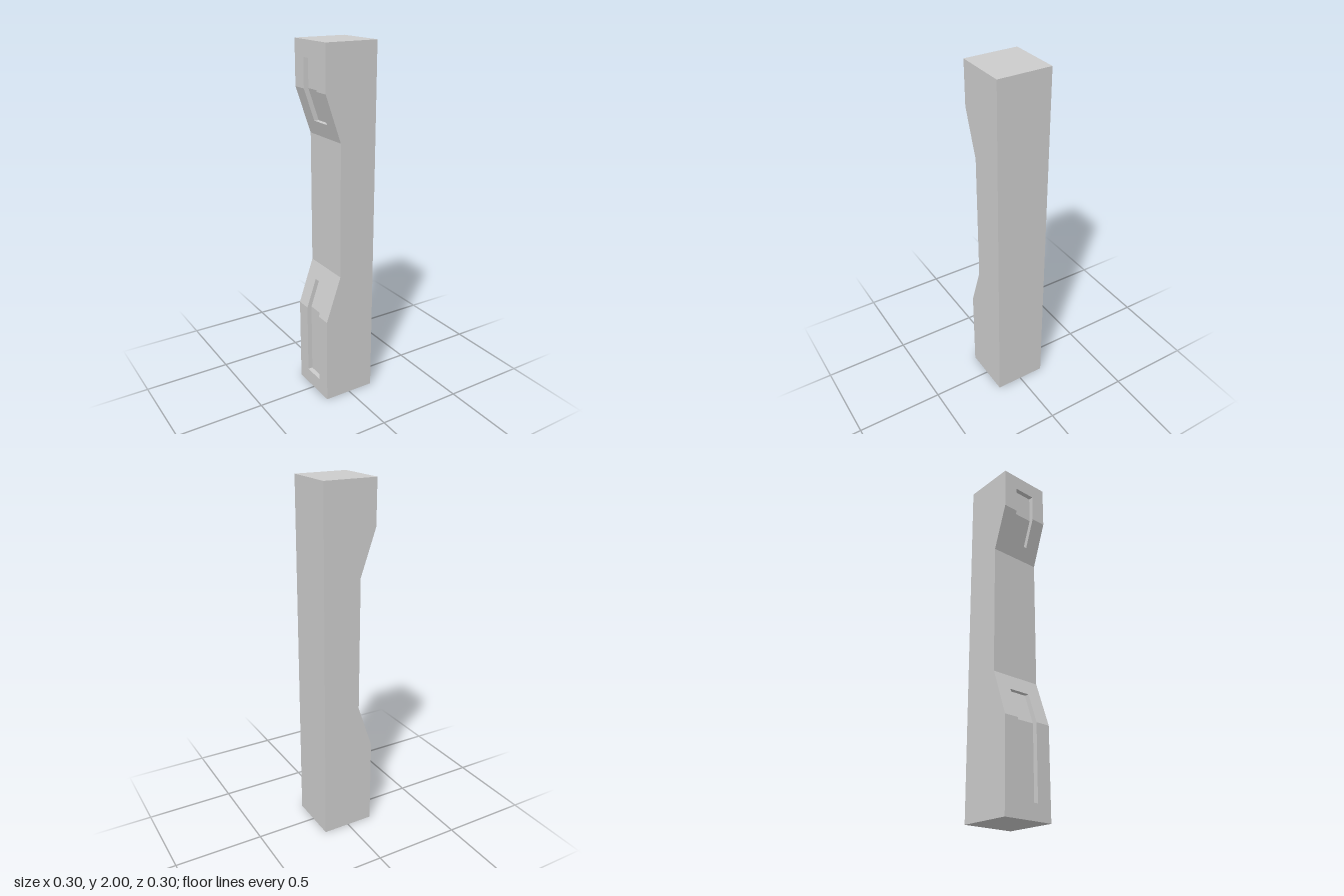
import * as THREE from 'three';

const H = 0.151;      // half width of the square post
const WAIST = -0.063; // x of the recessed middle face
const G = 0.0635;     // half width of the grooves
const DEPTH = 0.027;  // groove depth

// Height levels, with the grooved spans listed by row index
const LEVELS = [0, 0.0875, 0.5, 0.6675, 0.755, 1.5, 1.5825, 1.755, 1.9125, 2];
const GROOVES = [[1, 3], [6, 8]];

// x of the shaped side at a given height
function sideX(y) {
  const t = y < 1 ? (y - 0.5) / 0.255 : (1.755 - y) / 0.255;
  return THREE.MathUtils.lerp(-H, WAIST, THREE.MathUtils.clamp(t, 0, 1));
}

// Flat-faced mesh from quads given counter-clockwise from outside
function quadMesh(name, quads) {
  const positions = quads.flatMap(([a, b, c, d]) => [a, b, c, a, c, d].flat());
  const geometry = new THREE.BufferGeometry();
  geometry.setAttribute('position', new THREE.Float32BufferAttribute(positions, 3));
  geometry.computeVertexNormals();
  const mesh = new THREE.Mesh(geometry, new THREE.MeshStandardMaterial({ color: 0xcccccc, flatShading: true }));
  mesh.name = name;
  return mesh;
}

// Strip of the shaped side between two heights and two z values
function sideQuad(y0, y1, z0, z1, inset = 0) {
  const a = sideX(y0) + inset, b = sideX(y1) + inset;
  return [[a, y0, z0], [a, y0, z1], [b, y1, z1], [b, y1, z0]];
}

export function createModel() {
  const group = new THREE.Group();
  group.name = 'post';

  // Post body: top, bottom and plain side
  const body = [
    [[-H, 2, H], [H, 2, H], [H, 2, -H], [-H, 2, -H]],
    [[-H, 0, -H], [H, 0, -H], [H, 0, H], [-H, 0, H]],
    [[H, 0, H], [H, 0, -H], [H, 2, -H], [H, 2, H]],
  ];
  // Front, back and shaped side, row by row
  for (let i = 0; i < LEVELS.length - 1; i++) {
    const y0 = LEVELS[i], y1 = LEVELS[i + 1];
    const a = sideX(y0), b = sideX(y1);
    body.push([[a, y0, H], [H, y0, H], [H, y1, H], [b, y1, H]]);
    body.push([[H, y0, -H], [a, y0, -H], [b, y1, -H], [H, y1, -H]]);
    if (GROOVES.some(([s, e]) => i >= s && i < e)) {
      body.push(sideQuad(y0, y1, -H, -G), sideQuad(y0, y1, G, H));
    } else {
      body.push(sideQuad(y0, y1, -H, H));
    }
  }
  group.add(quadMesh('body', body));

  // Sunken grooves: floor, side walls and end walls
  GROOVES.forEach(([s, e], n) => {
    const quads = [];
    for (let i = s; i < e; i++) {
      const y0 = LEVELS[i], y1 = LEVELS[i + 1];
      const a = sideX(y0), b = sideX(y1);
      quads.push(sideQuad(y0, y1, -G, G, DEPTH));
      quads.push([[a, y0, -G], [a + DEPTH, y0, -G], [b + DEPTH, y1, -G], [b, y1, -G]]);
      quads.push([[a + DEPTH, y0, G], [a, y0, G], [b, y1, G], [b + DEPTH, y1, G]]);
    }
    const yb = LEVELS[s], yt = LEVELS[e];
    const xb = sideX(yb), xt = sideX(yt);
    quads.push([[xb, yb, G], [xb + DEPTH, yb, G], [xb + DEPTH, yb, -G], [xb, yb, -G]]);
    quads.push([[xt, yt, -G], [xt + DEPTH, yt, -G], [xt + DEPTH, yt, G], [xt, yt, G]]);
    group.add(quadMesh(n ? 'upperGroove' : 'lowerGroove', quads));
  });

  return group;
}
